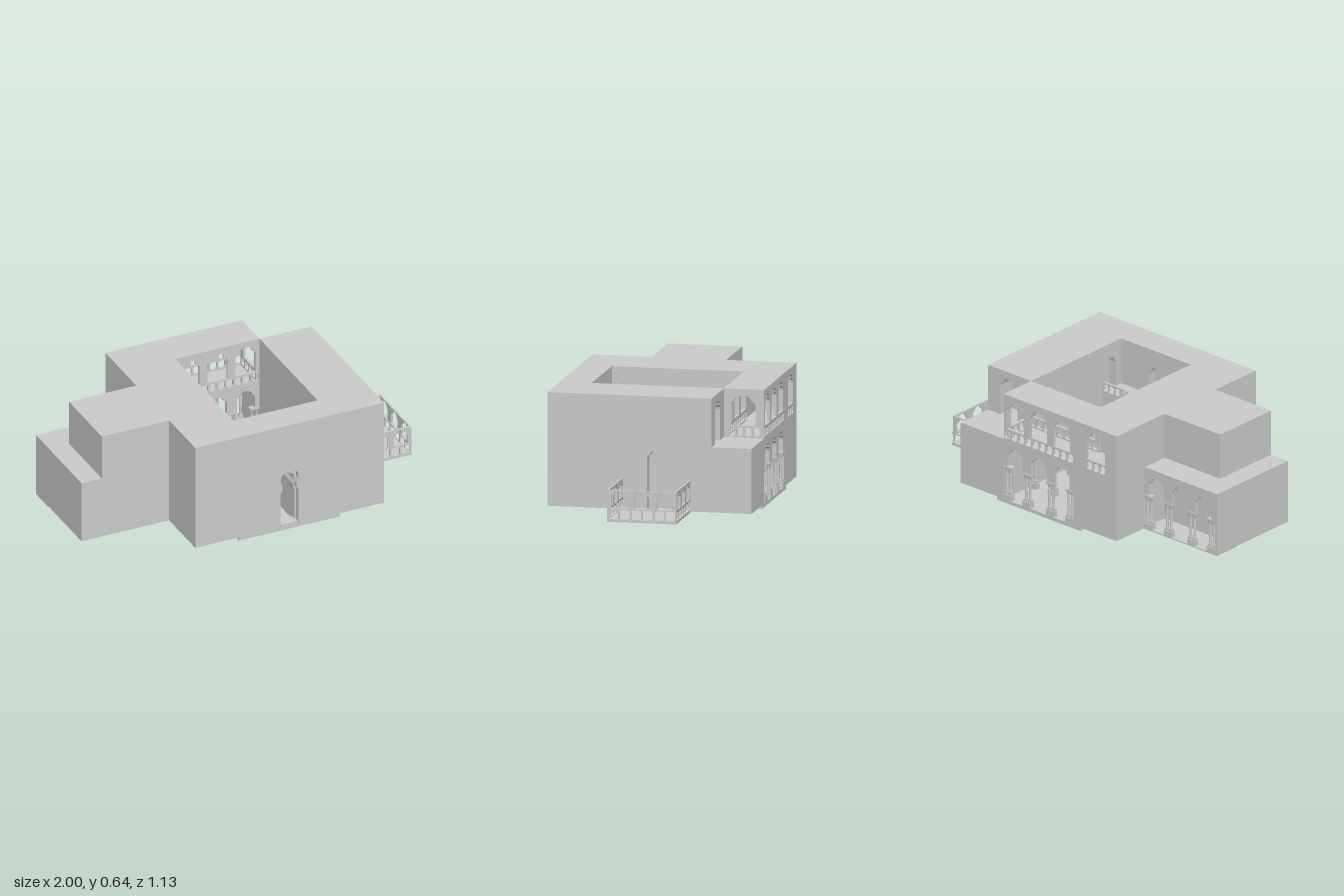
import * as THREE from 'three';

const mat = new THREE.MeshStandardMaterial({ color: 0xcccccc, flatShading: true, side: THREE.DoubleSide });

// Lobed arch outline from lower left to lower right; shoulders, then a narrower crown
function archPoints(c, y0, y1, w) {
  const r = w / 2, crown = r * 0.68, s = Math.min(0.055, w * 0.45), half = [[r, y0], [r, y1 - s]];
  for (let i = 1; i <= 3; i++) {
    const a = (i / 3) * Math.PI / 2;
    half.push([crown + (r - crown) * Math.cos(a), y1 - s + s * 0.42 * Math.sin(a)]);
  }
  for (let i = 0; i <= 4; i++) {
    const a = (i / 5) * Math.PI / 2;
    half.push([crown * 0.95 * Math.cos(a), y1 - s * 0.5 + s * 0.5 * Math.sin(a)]);
  }
  return [...half.map(([x, y]) => [c - x, y]), [c, y1], ...half.reverse().map(([x, y]) => [c + x, y])];
}

// Horseshoe arch with a pinched neck
function horseshoePoints(c, y0, y1, w) {
  const r = w / 2, cy = y1 - r * 1.05, half = [[r, y0], [r, cy - r * 1.6], [r * 0.78, cy - r * 1.2], [r * 0.78, cy - r * 0.8]];
  for (let i = 0; i < 8; i++) {
    const a = -0.6 + (i / 8) * (Math.PI / 2 + 0.6);
    half.push([r * Math.cos(a), cy + r * 1.05 * Math.sin(a)]);
  }
  return [...half.map(([x, y]) => [c - x, y]), [c, y1], ...half.reverse().map(([x, y]) => [c + x, y])];
}

// Row of round-cornered gaps that leave flared balusters between them
function balusterGaps(u0, u1, y0, y1, n) {
  const pitch = (u1 - u0) / n, k = 0.009;
  return Array.from({ length: n }, (_, i) => {
    const a = u0 + i * pitch + 0.005, b = u0 + (i + 1) * pitch - 0.005;
    return [[a, y0 + k], [a + k, y0], [b - k, y0], [b, y0 + k], [b, y1 - k], [b - k, y1], [a + k, y1], [a, y1 - k]];
  });
}

const toVecs = (pts) => pts.map(([x, y]) => new THREE.Vector2(x, y));

export function createModel() {
  const model = new THREE.Group();

  const add = (name, geometry, parent = model) => {
    const mesh = new THREE.Mesh(geometry, mat);
    mesh.name = name;
    parent.add(mesh);
    return mesh;
  };
  const box = (name, x0, x1, y0, y1, z0, z1, parent) => add(name,
    new THREE.BoxGeometry(x1 - x0, y1 - y0, z1 - z0).translate((x0 + x1) / 2, (y0 + y1) / 2, (z0 + z1) / 2), parent);

  // Wall from u0 to u1; notches open at its foot, holes are closed openings.
  // axis 'z': u is x and the wall fills at..at+depth in z; axis 'x': u is z, filling at..at+depth in x
  const wall = (name, axis, at, depth, u0, u1, y0, y1, notches = [], holes = []) => {
    const shape = new THREE.Shape(toVecs([[u0, y0], ...notches.flat(), [u1, y0], [u1, y1], [u0, y1]]));
    shape.holes = holes.map((h) => new THREE.Path(toVecs(h)));
    const g = new THREE.ExtrudeGeometry(shape, { depth, bevelEnabled: false });
    if (axis === 'x') g.rotateY(-Math.PI / 2).translate(at + depth, 0, 0);
    else g.translate(0, 0, at);
    return add(name, g);
  };

  // Pair of columns on a shared pedestal under a shared block
  const columnPair = (name, x, z, y0, y1) => {
    const group = new THREE.Group();
    group.name = name;
    box('pedestal', x - 0.026, x + 0.026, y0, y0 + 0.035, z - 0.016, z + 0.016, group);
    for (const s of [-1, 1]) {
      const cx = x + s * 0.014;
      box('columnBase', cx - 0.011, cx + 0.011, y0 + 0.035, y0 + 0.05, z - 0.011, z + 0.011, group);
      add('shaft', new THREE.CylinderGeometry(0.007, 0.008, y1 - y0 - 0.085, 10)
        .translate(cx, (y0 + y1 + 0.015) / 2, z), group);
      add('capital', new THREE.CylinderGeometry(0.013, 0.007, 0.025, 10).translate(cx, y1 - 0.0225, z), group);
    }
    box('impost', x - 0.028, x + 0.028, y1 - 0.01, y1, z - 0.015, z + 0.015, group);
    model.add(group);
  };

  // Three bays of arches carried by column pairs
  const arcade = (name, x0, x1, z, y1) => {
    const pitch = (x1 - x0) / 3, spring = 0.22;
    const bays = [0, 1, 2].map((i) => archPoints(x0 + (i + 0.5) * pitch, spring, 0.335, pitch - 0.055));
    wall(name, 'z', z - 0.01, 0.02, x0, x1, spring, y1, bays);
    for (let i = 0; i <= 3; i++) {
      const inset = i === 0 ? 0.028 : i === 3 ? -0.028 : 0;
      columnPair(name + 'Columns', x0 + i * pitch + inset, z, 0.02, spring);
    }
  };

  const F = 0.375, T = 0.64, L = -0.17, R = 0.33;

  // Ground slab and lower storey
  box('groundSlab', -0.22, 0.38, 0, 0.02, -0.56, 0.56);
  box('lowerRightMass', -0.48, L, 0.02, F, -0.56, 0.56);
  box('lowerLeftMass', R, 0.58, 0.02, F, -0.56, 0.56);

  // Side wall with the balcony doorway, in two heights around the open terrace
  wall('lowerSideWall', 'x', 0.58, 0.06, -0.56, 0.56, 0.02, F, [archPoints(-0.033, 0.02, 0.343, 0.095)]);
  box('upperSideWall', 0.58, 0.64, F, T, -0.34, 0.56);

  // Entrance passage with a stepped horseshoe portal
  wall('entrancePassage', 'z', 0.235, 0.295, L, R, 0.02, F, [horseshoePoints(0.08, 0.02, 0.33, 0.085)]);
  wall('entrancePortal', 'z', 0.53, 0.03, L, R, 0.02, F, [horseshoePoints(0.08, 0.02, 0.365, 0.106)]);
  box('threshold', 0.03, 0.13, 0.02, 0.035, 0.5, 0.56);

  // Upper storey around the courtyard, with doors onto the gallery
  box('upperRightMass', -0.48, L - 0.05, F, T, -0.34, 0.56);
  box('upperLeftMass', R + 0.05, 0.58, F, T, -0.24, 0.56);
  for (const x of [L - 0.05, R])
    wall('courtyardSideWall', 'x', x, 0.05, x === R ? -0.24 : -0.34, 0.56, F, T, [archPoints(0.3, F, 0.555, 0.085)]);
  wall('courtyardFrontWall', 'z', 0.385, 0.05, L, R, F, T, [archPoints(0.08, F, 0.54, 0.095)]);
  box('upperFrontMass', L, R, F, T, 0.435, 0.56);

  // Gallery rail with a projecting middle
  const railY = F + 0.06;
  box('galleryProjection', 0, 0.16, F - 0.02, F, 0.2, 0.235);
  for (const [a, b, z, n] of [[L, 0, 0.235, 4], [0, 0.16, 0.2, 4], [0.16, R, 0.235, 4]])
    wall('galleryRail', 'z', z, 0.008, a, b, F, railY, [], balusterGaps(a, b, F + 0.008, railY - 0.008, n));
  for (const x of [0, 0.152])
    wall('galleryRailReturn', 'x', x, 0.008, 0.2, 0.243, F, railY, [], balusterGaps(0.2, 0.243, F + 0.008, railY - 0.008, 1));

  // Rear hall and loggia: arcades below, arched walls with balustrades above
  arcade('outerArcade', L, R, -0.55, F - 0.02);
  arcade('courtyardArcade', L, R, -0.35, F - 0.02);
  box('loggiaFloor', L, R, F - 0.02, F, -0.56, -0.34);
  box('loggiaRoof', -0.48, R, 0.62, T, -0.56, -0.34);
  box('loggiaEndWall', -0.48, -0.46, F, 0.62, -0.56, -0.34);
  const bayCentres = [0, 1, 2].map((i) => L + (i + 0.5) * (R - L) / 3);
  const loggiaHoles = [
    ...bayCentres.map((c) => archPoints(c, railY + 0.005, 0.605, 0.12)),
    ...balusterGaps(L, R, F + 0.008, railY - 0.005, 10),
  ];
  wall('loggiaOuterWall', 'z', -0.56, 0.015, -0.48, R, F, 0.62, [], [
    ...loggiaHoles,
    archPoints(-0.33, railY + 0.005, 0.605, 0.13),
    ...balusterGaps(-0.4, -0.26, F + 0.008, railY - 0.005, 3),
  ]);
  wall('loggiaInnerWall', 'z', -0.355, 0.015, L, R, F, 0.62, [], loggiaHoles);
  wall('loggiaSideWall', 'x', R - 0.015, 0.015, -0.545, -0.355, F, 0.62, [], [
    archPoints(-0.446, railY + 0.005, 0.605, 0.135),
    ...balusterGaps(-0.54, -0.36, F + 0.008, railY - 0.005, 4),
  ]);

  // Door from the corner terrace
  box('terraceFloor', 0.58, 0.64, F - 0.001, F, -0.56, -0.34);
  wall('terraceWall', 'z', -0.34, 0.1, R, 0.58, F, T, [archPoints(0.49, F, 0.6, 0.125)]);

  // Side wing with an arcaded porch
  box('wingTower', -0.88, -0.48, 0.02, T, -0.175, 0.235);
  box('wingLowerEnd', -1, -0.88, 0.02, 0.38, -0.175, 0.235);
  box('porchFloor', -1, -0.48, 0.015, 0.022, -0.335, -0.175);
  box('porchRoof', -1, -0.48, 0.355, 0.38, -0.335, -0.175);
  box('porchEndWall', -1, -0.985, 0.02, 0.355, -0.335, -0.175);
  arcade('porchArcade', -0.985, -0.48, -0.325, 0.355);

  // Side balcony: slab and three pierced screens
  box('balconySlab', 0.64, 1, 0.015, 0.028, -0.225, 0.155);
  const screen = (axis, at, a, b) => {
    const pitch = (b - a) / 3;
    wall('balconyScreen', axis, at, 0.01, a, b, 0.028, 0.19, [], [
      ...[0, 1, 2].map((i) => archPoints(a + (i + 0.5) * pitch, 0.09, 0.183, 0.08)),
      ...balusterGaps(a, b, 0.03, 0.082, 6),
    ]);
  };
  screen('z', 0.145, 0.64, 0.99);
  screen('z', -0.225, 0.64, 0.99);
  screen('x', 0.985, -0.225, 0.155);
  box('balconyRail', 0.98, 1, 0.082, 0.09, -0.225, 0.155);

  return model;
}
